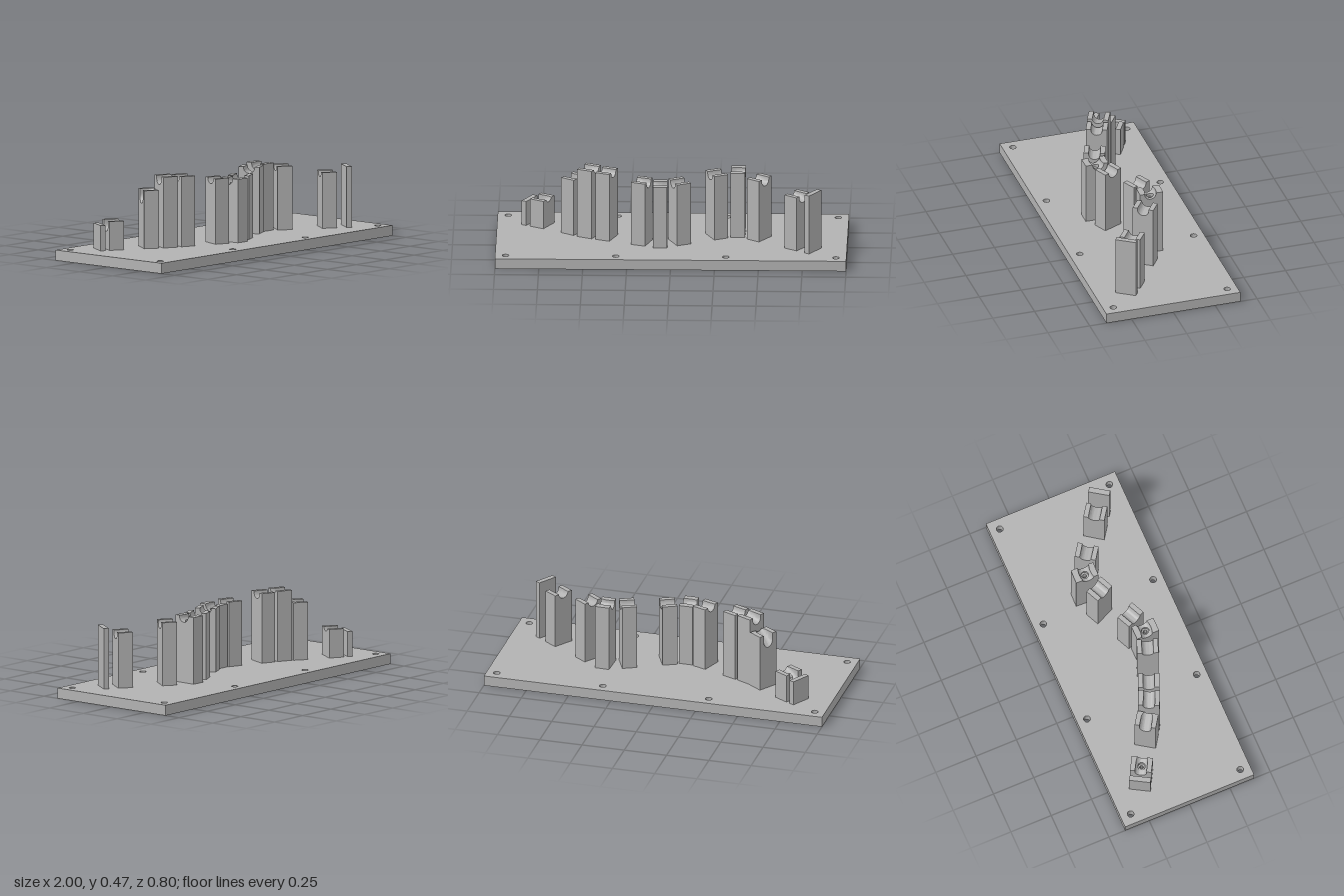
import * as THREE from 'three';
import { toCreasedNormals } from 'three/addons/utils/BufferGeometryUtils.js';

const BASE = 0.06; // base plate thickness
const R = 0.033;   // groove radius

// Upright block with a rounded groove along its local x axis.
// slope: groove rise, bend: sideways curve of the groove, hole: screw hole in the groove floor
function saddleGeometry({ w, l, h, slope = 0, bend = 0, hole = false }) {
  const a = w / 2, b = l / 2, q = Math.hypot(1, slope);

  // Perimeter points, doubled at the groove corners
  const side = [[a, -b, false], [a, -R, false]];
  for (let i = 0; i <= 14; i++) side.push([a, R * Math.sin(Math.PI * (i / 14 - 0.5)), true]);
  side.push([a, R, false]);
  for (let i = 0; i < 12; i++) side.push([a - w * i / 12, b, false]);
  const rim = [...side, ...side.map(([u, v, g]) => [-u, -v, g])];

  // Point on the top surface; "inside" means on the groove floor
  const surface = (u, v, inside) => {
    const axis = h - 0.004 + slope * u;
    const rise = Math.min(0.97, Math.max(0, (axis - h) / (R * q)));
    const g = R * Math.sqrt(1 - rise * rise);
    const s = Math.sign(v), t = Math.abs(v);
    const shift = bend * u * u;
    if (inside) {
      const vv = Math.min(t / R, 1) * g;
      return [u, axis - q * Math.sqrt(Math.max(0, R * R - vv * vv)), s * vv + shift];
    }
    const f = (t - R) / (b - R);
    return [u, h, s * (g + (b - g) * f) + shift * (1 - f)];
  };

  // Concentric rings from the middle out to the rim and down the sides
  const rings = [];
  const ring = (fn) => rings.push(rim.map(fn));
  const r1 = 0.011, r2 = 0.021, seat = h - R - 0.02, floor = seat - 0.05;
  if (hole) {
    const circle = (r, y) => ring(([u, v]) => {
      const k = r / Math.hypot(u, v);
      return [u * k, y, v * k];
    });
    circle(0, floor);
    circle(r1, floor);
    circle(r1, seat);
    circle(r2, seat);
  }
  for (let i = 0; i <= 8; i++) {
    ring(([u, v]) => {
      const start = hole ? r2 / Math.hypot(u, v) : 0;
      const end = Math.min(1, R / Math.max(Math.abs(v), 1e-6));
      const k = start + (end - start) * i / 8;
      return surface(u * k, v * k, true);
    });
  }
  ring(([u, v, g]) => {
    const k = Math.min(1, R / Math.max(Math.abs(v), 1e-6));
    return surface(u * k, v * k, g);
  });
  ring(([u, v, g]) => surface(u, v, g));
  ring(([u, v, g]) => {
    const p = surface(u, v, g);
    return [p[0], BASE, p[2]];
  });

  const pos = [];
  const A = new THREE.Vector3(), B = new THREE.Vector3(), C = new THREE.Vector3();
  const tri = (p, m, n) => {
    A.fromArray(p); B.fromArray(m).sub(A); C.fromArray(n).sub(A);
    if (B.cross(C).length() > 1e-10) pos.push(...p, ...m, ...n);
  };
  for (let i = 0; i + 1 < rings.length; i++) {
    for (let j = 0; j < rim.length; j++) {
      const n = (j + 1) % rim.length, inner = rings[i], outer = rings[i + 1];
      tri(inner[j], inner[n], outer[n]);
      tri(inner[j], outer[n], outer[j]);
    }
  }
  const geo = new THREE.BufferGeometry();
  geo.setAttribute('position', new THREE.Float32BufferAttribute(pos, 3));
  return toCreasedNormals(geo, 0.6);
}

// Flat plate with eight mounting holes
function baseGeometry() {
  const shape = new THREE.Shape();
  shape.moveTo(-1, -0.4).lineTo(1, -0.4).lineTo(1, 0.4).lineTo(-1, 0.4).closePath();
  for (const x of [-0.94, -0.313, 0.313, 0.94]) {
    for (const y of [-0.34, 0.34]) {
      shape.holes.push(new THREE.Path().absarc(x, y, 0.019, 0, Math.PI * 2, true));
    }
  }
  const geo = new THREE.ExtrudeGeometry(shape, { depth: BASE, bevelEnabled: false, curveSegments: 24 });
  return toCreasedNormals(geo.rotateX(-Math.PI / 2), 0.6);
}

export function createModel() {
  const model = new THREE.Group();
  const grey = new THREE.MeshStandardMaterial({ color: 0xb2b2b2 });
  grey.name = 'grey';

  const add = (name, geo, x = 0, z = 0, degrees = 0) => {
    const mesh = new THREE.Mesh(geo, grey);
    mesh.name = name;
    mesh.position.set(x, 0, z);
    mesh.rotation.y = -THREE.MathUtils.degToRad(degrees);
    model.add(mesh);
  };

  add('basePlate', baseGeometry());

  // Grooved supports along the curved path
  const supports = [
    { x: -0.743, z: -0.187, turn: 30, h: 0.225, w: 0.088, slope: 0.5, hole: true },
    { x: -0.562, z: -0.078, turn: 34, h: 0.393, slope: 0.8 },
    { x: -0.472, z: -0.023, turn: 25, h: 0.467, w: 0.092, slope: 0.25 },
    { x: -0.372, z: 0.018, turn: 22, h: 0.463 },
    { x: -0.170, z: 0.097, turn: 20, h: 0.435, slope: -0.1 },
    { x: -0.064, z: 0.129, turn: 0, h: 0.425, w: 0.082, l: 0.136, bend: -4, hole: true },
    { x: 0.046, z: 0.085, turn: -25, h: 0.427 },
    { x: 0.255, z: -0.018, turn: -25, h: 0.443 },
    { x: 0.376, z: -0.057, turn: 2, h: 0.447, w: 0.082, l: 0.136, bend: 4, hole: true },
    { x: 0.497, z: 0.008, turn: 35, h: 0.425, slope: -0.15 },
    { x: 0.714, z: 0.155, turn: 35, h: 0.38, slope: -0.15 },
  ];
  for (const { x, z, turn, w = 0.086, l = 0.122, ...rest } of supports) {
    add('groovedSupport', saddleGeometry({ w, l, ...rest }), x, z, turn);
  }

  // Thin end stops
  const stop = (x, z, turn, h) => add('endStop',
    new THREE.BoxGeometry(0.03, h - BASE, 0.122).translate(0, (h + BASE) / 2, 0), x, z, turn);
  stop(-0.816, -0.227, 30, 0.205);
  stop(0.808, 0.22, 34, 0.41);

  return model;
}
